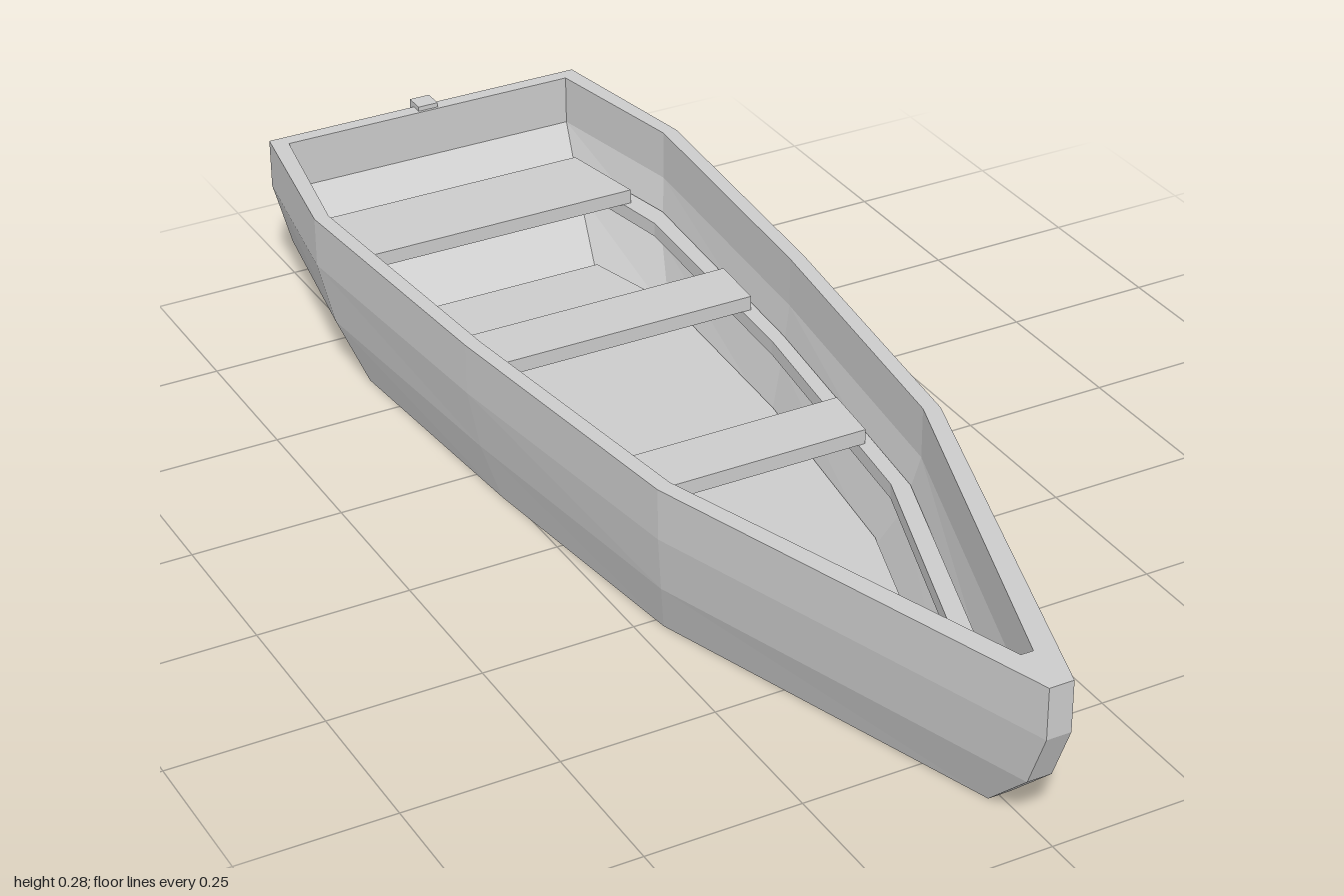
import * as THREE from 'three';

const material = new THREE.MeshStandardMaterial({ color: 0xcccccc, flatShading: true, side: THREE.DoubleSide });

// Half outlines [x, z]: transom corner, widest point, midship, shoulder, bow
const OUTER_TOP = [[0.287, -0.985], [0.335, -0.69], [0.3, -0.2], [0.24, 0.31], [0.02, 1]];
const OUTER_BILGE = [[0.27, -0.95], [0.32, -0.66], [0.285, -0.19], [0.23, 0.3], [0.02, 0.96]];
const OUTER_KEEL = [[0.24, -0.85], [0.29, -0.6], [0.26, -0.17], [0.21, 0.27], [0.018, 0.865]];
const INNER_TOP = [[0.262, -0.96], [0.31, -0.69], [0.275, -0.2], [0.215, 0.3], [0.01, 0.915]];
const INNER_BILGE = [[0.24, -0.87], [0.285, -0.65], [0.255, -0.19], [0.195, 0.285], [0.01, 0.86]];
const INNER_KEEL = [[0.2, -0.73], [0.245, -0.55], [0.225, -0.17], [0.17, 0.24], [0.01, 0.735]];
const RISER_OUTER = [[0.25, -0.9], [0.294, -0.665], [0.262, -0.195], [0.203, 0.291], [0.012, 0.86]];
const RISER_INNER = [[0.225, -0.86], [0.262, -0.635], [0.237, -0.19], [0.178, 0.275], [0.01, 0.77]];

// Mirrors a half outline into a closed loop
const mirror = (half) => [...half, ...half.map(([x, z]) => [-x, z]).reverse()];

function addMesh(parent, name, geometry) {
  const mesh = new THREE.Mesh(geometry, material);
  mesh.name = name;
  parent.add(mesh);
  return mesh;
}

// Skins rings of [y, half outline], joining the last ring back to the first
function skinRings(rings) {
  const loops = rings.map(([y, half]) => mirror(half).map(([x, z]) => [x, y, z]));
  const positions = [];
  loops.forEach((low, r) => {
    const high = loops[(r + 1) % loops.length];
    low.forEach((a, i) => {
      const j = (i + 1) % low.length;
      positions.push(...a, ...high[i], ...high[j], ...a, ...high[j], ...low[j]);
    });
  });
  const geometry = new THREE.BufferGeometry();
  geometry.setAttribute('position', new THREE.Float32BufferAttribute(positions, 3));
  geometry.computeVertexNormals();
  return geometry;
}

// Flat board cut to a plan outline of [x, z] points
function board(points, bottom, thickness) {
  const shape = new THREE.Shape(points.map(([x, z]) => new THREE.Vector2(x, -z)));
  return new THREE.ExtrudeGeometry(shape, { depth: thickness, bevelEnabled: false })
    .rotateX(-Math.PI / 2)
    .translate(0, bottom, 0);
}

export function createModel() {
  const boat = new THREE.Group();
  boat.name = 'rowingBoat';

  // Thick hull shell: up the outside, over the gunwale and down the inside
  addMesh(boat, 'hull', skinRings([
    [0, OUTER_KEEL], [0.09, OUTER_BILGE], [0.185, OUTER_TOP], [0.27, OUTER_TOP],
    [0.27, INNER_TOP], [0.185, INNER_TOP], [0.09, INNER_BILGE], [0, INNER_KEEL],
  ]));

  // Floor, set slightly up from the keel rim
  addMesh(boat, 'floor', board(mirror(INNER_KEEL.map(([x, z]) => [x * 1.02, z * 1.01])), 0.01, 0.012));

  // Risers along both inner sides, carrying the benches
  for (const side of [1, -1]) {
    const outline = [...RISER_OUTER, ...[...RISER_INNER].reverse()].map(([x, z]) => [x * side, z]);
    addMesh(boat, side > 0 ? 'leftRiser' : 'rightRiser', board(outline, 0.11, 0.025));
  }

  // Benches: back z, front z, half width at back and front
  const benches = [
    ['sternBench', -0.875, -0.72, 0.235, 0.262],
    ['middleBench', -0.4, -0.295, 0.265, 0.258],
    ['frontBench', 0.05, 0.155, 0.216, 0.205],
  ];
  for (const [name, back, front, wBack, wFront] of benches) {
    addMesh(boat, name, board(mirror([[wBack, back], [wFront, front]]), 0.135, 0.025));
  }

  // Stern post following the transom and hooking over its top edge
  const profile = [
    [-0.862, 0], [-0.965, 0.09], [-1, 0.185], [-1, 0.278], [-0.965, 0.278],
    [-0.965, 0.265], [-0.98, 0.265], [-0.975, 0.185], [-0.94, 0.09], [-0.84, 0],
  ];
  const post = new THREE.Shape(profile.map(([z, y]) => new THREE.Vector2(z, y)));
  addMesh(boat, 'sternPost', new THREE.ExtrudeGeometry(post, { depth: 0.036, bevelEnabled: false })
    .rotateY(-Math.PI / 2)
    .translate(0.018, 0, 0));

  return boat;
}
